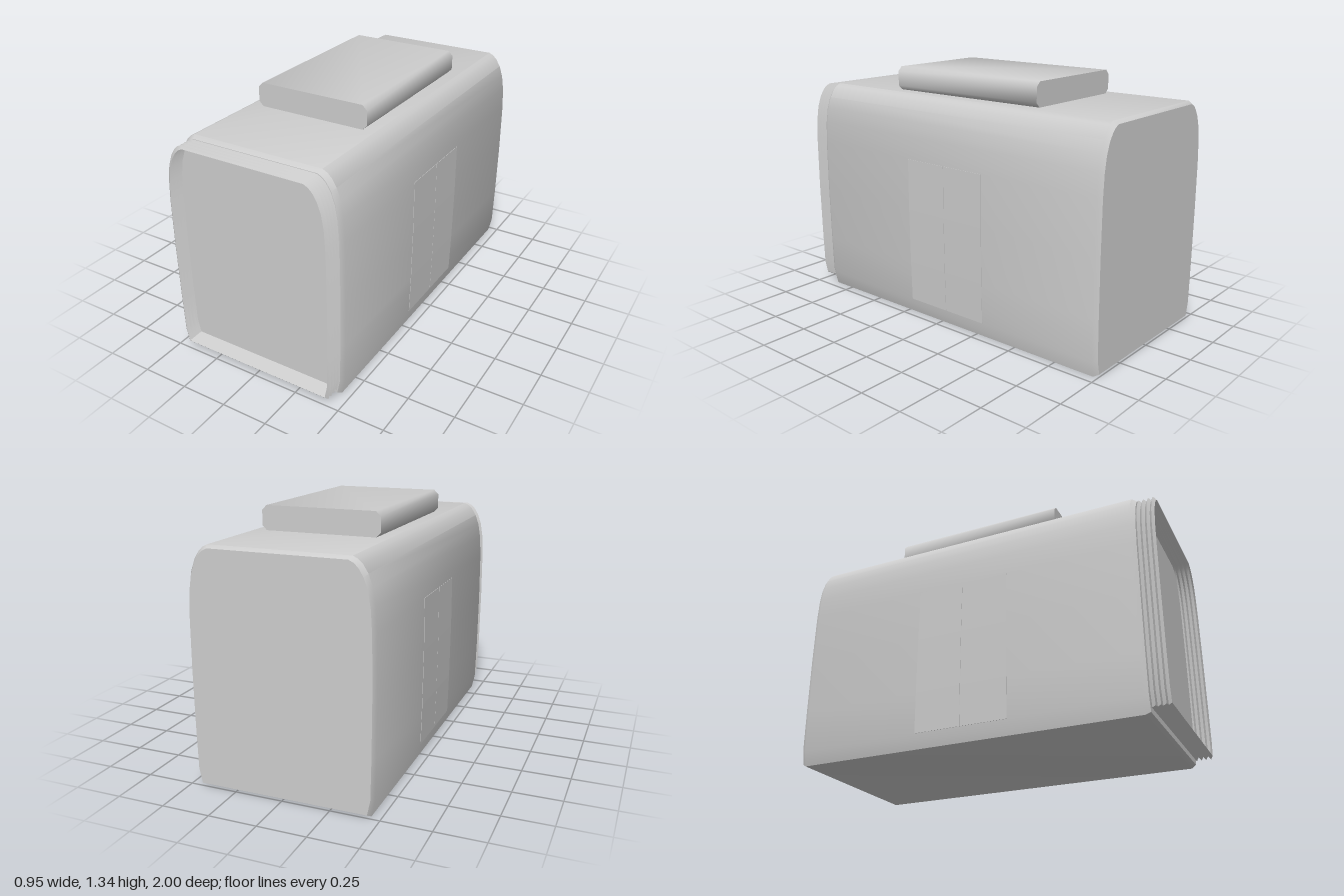
import * as THREE from 'three';
import { toCreasedNormals } from 'three/addons/utils/BufferGeometryUtils.js';

const W = 0.475, H = 1.213;
// Right half of the body cross-section, from floor to roof
const SIDE = [[0.45, 0], [0.467, 0.08], [0.472, 0.3], [0.475, 0.6], [0.473, 0.88], [0.466, 1.0],
  [0.453, 1.08], [0.432, 1.14], [0.407, 1.18], [0.386, 1.2], [0.36, H]];
const RING = [...SIDE, ...SIDE.map(([x, y]) => [-x, y]).reverse()];

// Skin through stations [z, inset, bottomInset], ordered back to front
function loft(stations, capped) {
  const n = RING.length, pos = [], index = [];
  for (const [z, inset, bottom = inset] of stations) {
    for (const [x, y] of RING) {
      pos.push(x * (1 - inset / W), bottom + y * (H - inset - bottom) / H, z);
    }
  }
  const last = (stations.length - 1) * n;
  for (let i = 0; i < last; i += n) {
    for (let j = 0; j < n; j++) {
      const k = (j + 1) % n;
      index.push(i + j, i + k, i + n + k, i + j, i + n + k, i + n + j);
    }
  }
  if (capped) {
    for (let j = 1; j < n - 1; j++) {
      index.push(0, j + 1, j, last, last + j, last + j + 1);
    }
  }
  const geo = new THREE.BufferGeometry();
  geo.setAttribute('position', new THREE.Float32BufferAttribute(pos, 3));
  geo.setIndex(index);
  return toCreasedNormals(geo, 0.6);
}

// Outline extruded along z, centred on z = 0
function extrudeZ(points, depth) {
  const shape = new THREE.Shape(points.map(([x, y]) => new THREE.Vector2(x, y)));
  return new THREE.ExtrudeGeometry(shape, { depth, bevelEnabled: false }).translate(0, 0, -depth / 2);
}

export function createModel() {
  const model = new THREE.Group();
  model.name = 'carriageSection';
  const grey = new THREE.MeshStandardMaterial({ color: 0xcccccc, side: THREE.DoubleSide });
  grey.name = 'grey';
  const add = (name, geo) => {
    const mesh = new THREE.Mesh(geo, grey);
    mesh.name = name;
    model.add(mesh);
    return mesh;
  };

  // Body shell with bevelled ends
  add('body', loft([[-1, 0.014], [-0.975, 0], [0.88, 0], [0.905, 0.014]], true));

  // Open folded bellows at the front end
  const folds = [];
  for (let i = 0; i <= 8; i++) {
    const valley = i % 2 === 0;
    folds.push([0.9 + i * 0.0125, valley ? 0.027 : 0.012, valley ? 0.048 : 0.034]);
  }
  add('bellows', loft(folds, false));

  // Roof unit with softened long edges
  const c = 0.025, w = 0.318, y0 = 1.212, y1 = 1.34;
  const roof = extrudeZ([[-w + c, y0], [w - c, y0], [w, y0 + c], [w, y1 - c],
    [w - c, y1], [-w + c, y1], [-w, y1 - c], [-w, y0 + c]], 0.95);
  add('roofUnit', toCreasedNormals(roof, 0.9)).position.z = -0.047;

  // Double doors lying almost flush with each side wall
  const skin = SIDE.slice(1, 5).map(([x, y]) => [x + 0.002, y]);
  const leaf = extrudeZ([[0.462, 0.08], ...skin, [0.468, 0.88]], 0.254);
  for (const side of ['left', 'right']) {
    for (const s of [-1, 1]) {
      const door = add(`${side}Door${s > 0 ? 'Front' : 'Rear'}`, leaf);
      door.position.z = -0.045 + s * 0.128;
      if (side === 'right') door.rotation.y = Math.PI;
    }
  }
  return model;
}
